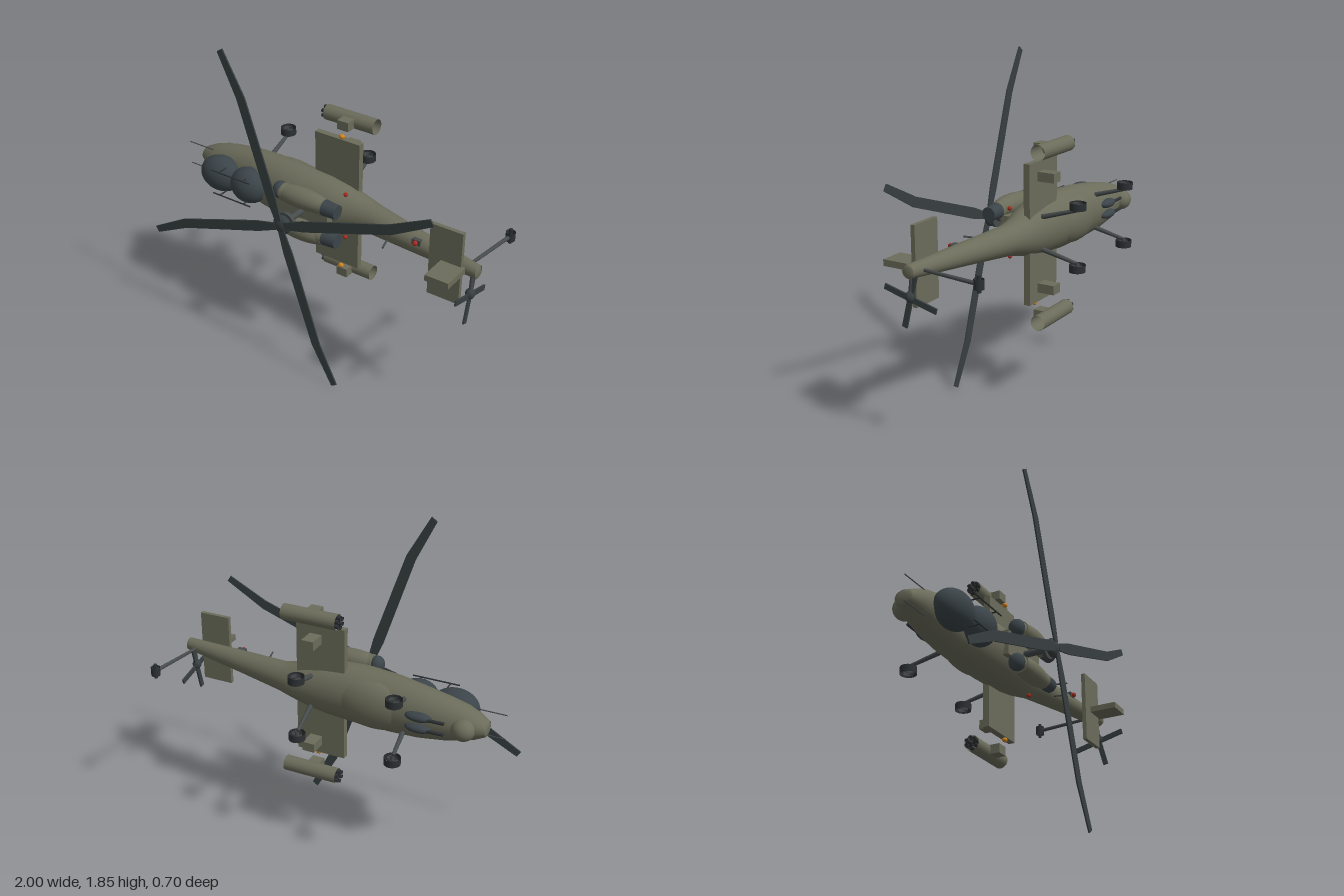
import * as THREE from 'three';

const mat = (name, color) => {
  const m = new THREE.MeshStandardMaterial({ color, side: THREE.DoubleSide });
  m.name = name;
  return m;
};

// The aircraft lies with its nose to -x and its roof to +z; y is its width.
export function createModel() {
  const olive = mat('olive paint', 0x6b6c5a);
  const glass = mat('dark glass', 0x3b4449);
  const blade = mat('rotor charcoal', 0x383f40);
  const rubber = mat('tyre black', 0x2c3033);
  const steel = mat('gear grey', 0x454a4b);
  const red = mat('red lamp', 0xa82a20);
  const amber = mat('amber lamp', 0xd08420);

  const root = new THREE.Group();
  const craft = new THREE.Group();
  craft.name = 'helicopter';
  craft.position.y = 0.935;
  root.add(craft);

  const add = (name, geo, m, x = 0, y = 0, z = 0, parent = craft) => {
    const mesh = new THREE.Mesh(geo, m);
    mesh.name = name;
    mesh.position.set(x, y, z);
    parent.add(mesh);
    return mesh;
  };
  const box = (name, m, x0, x1, y0, y1, z0, z1) =>
    add(name, new THREE.BoxGeometry(x1 - x0, y1 - y0, z1 - z0), m, (x0 + x1) / 2, (y0 + y1) / 2, (z0 + z1) / 2);
  const ball = (name, m, x, y, z, rx, ry = rx, rz = rx) =>
    add(name, new THREE.SphereGeometry(1, 28, 18).scale(rx, ry, rz), m, x, y, z);
  // Cylinder from point a to point b
  const rod = (name, m, a, b, r0, r1 = r0, open = false, sides = 20) => {
    const p = new THREE.Vector3(...a), q = new THREE.Vector3(...b);
    const d = q.clone().sub(p);
    const mesh = add(name, new THREE.CylinderGeometry(r1, r0, d.length(), sides, 1, open), m);
    mesh.position.copy(p).add(q).multiplyScalar(0.5);
    mesh.quaternion.setFromUnitVectors(new THREE.Vector3(0, 1, 0), d.normalize());
    return mesh;
  };

  // Body and tail boom lofted from ellipses: x, centre z, half width, half height
  const loft = (sections, n = 32) => {
    const pos = [], idx = [];
    sections.forEach(([x, zc, ry, rz], i) => {
      for (let j = 0; j < n; j++) {
        const a = (j / n) * Math.PI * 2;
        pos.push(x, ry * Math.cos(a), zc + rz * Math.sin(a));
        if (i === sections.length - 1) continue;
        const p = i * n + j, q = i * n + (j + 1) % n;
        idx.push(p, q, p + n, q, q + n, p + n);
      }
    });
    const g = new THREE.BufferGeometry();
    g.setAttribute('position', new THREE.Float32BufferAttribute(pos, 3));
    g.setIndex(idx);
    g.computeVertexNormals();
    return g;
  };
  add('fuselage', loft([
    [-0.92, -0.065, 0.04, 0.052], [-0.86, -0.058, 0.072, 0.08], [-0.8, -0.052, 0.095, 0.095],
    [-0.7, -0.05, 0.12, 0.108], [-0.55, -0.043, 0.146, 0.12], [-0.4, -0.025, 0.16, 0.136],
    [-0.2, -0.01, 0.166, 0.145], [0, -0.005, 0.156, 0.134], [0.12, -0.014, 0.132, 0.114],
    [0.22, -0.02, 0.102, 0.094], [0.3, -0.012, 0.083, 0.084], [0.6, 0.041, 0.062, 0.064],
    [0.99, 0.105, 0.036, 0.036],
  ]), olive);
  ball('noseCap', olive, -0.915, 0, -0.065, 0.012, 0.04, 0.052);
  ball('tailCap', olive, 0.985, 0, 0.105, 0.01, 0.035, 0.035);
  ball('bellyFairing', olive, -0.3, 0, -0.08, 0.25, 0.14, 0.095);
  ball('sensorTurret', olive, -0.81, 0, -0.13, 0.065, 0.06, 0.06);

  // Two cockpit bubbles
  ball('frontCanopy', glass, -0.69, 0, 0.08, 0.135, 0.105, 0.095);
  ball('rearCanopy', glass, -0.475, 0, 0.095, 0.117, 0.105, 0.092);

  // Engine deck and mast
  box('engineDeck', olive, -0.255, 0.1, -0.07, 0.07, 0.07, 0.15);
  rod('rotorMast', steel, [-0.07, 0, 0.12], [-0.07, 0, 0.33], 0.019);
  rod('mastCollar', steel, [-0.07, 0, 0.272], [-0.07, 0, 0.293], 0.055);
  ball('rotorHub', blade, -0.07, 0, 0.318, 0.055, 0.055, 0.03);

  // Main rotor with swept blade tips
  const bladeShape = new THREE.Shape([
    [0.03, -0.02], [0.16, -0.031], [0.72, -0.029], [0.985, 0.022],
    [0.975, 0.06], [0.72, 0.027], [0.16, 0.031], [0.03, 0.02],
  ].map(p => new THREE.Vector2(...p)));
  const bladeGeo = new THREE.ExtrudeGeometry(bladeShape, { depth: 0.008, bevelEnabled: false });
  for (let i = 0; i < 4; i++)
    add('mainRotorBlade', bladeGeo, blade, -0.07, 0, 0.336).rotation.z = 0.328 + i * Math.PI / 2;

  // Tail planes
  box('stabilizer', olive, 0.725, 0.91, -0.21, 0.21, 0.118, 0.142);
  box('tailFin', olive, 0.795, 0.93, -0.017, 0.017, 0.11, 0.3);

  // Tail rotor turning in the yz plane
  const tailRotor = new THREE.Group();
  tailRotor.name = 'tailRotor';
  tailRotor.position.set(0.96, -0.145, 0.117);
  tailRotor.rotation.x = -0.25;
  craft.add(tailRotor);
  for (let i = 0; i < 4; i++) {
    const g = new THREE.BoxGeometry(0.01, 0.15, 0.03).translate(0, 0.083, 0);
    add('tailRotorBlade', g, blade, 0, 0, 0, tailRotor).rotation.x = i * Math.PI / 2;
  }
  ball('tailRotorHub', blade, 0.96, -0.135, 0.117, 0.026, 0.03, 0.026);
  rod('tailRotorShaft', steel, [0.96, 0, 0.105], [0.96, -0.13, 0.117], 0.01);

  // Tail wheel
  rod('tailStrut', steel, [0.92, 0, 0.08], [0.965, 0, -0.28], 0.009, 0.011);
  rod('tailWheel', rubber, [0.965, -0.025, -0.285], [0.965, 0.025, -0.285], 0.026, 0.026, true);
  rod('tailAxle', rubber, [0.965, -0.043, -0.285], [0.965, 0.043, -0.285], 0.01);

  for (const s of [1, -1]) {
    // Engine with intake and exhaust
    ball('engine', olive, -0.045, s * 0.1, 0.172, 0.19, 0.058, 0.06);
    rod('engineCowl', olive, [-0.17, s * 0.1, 0.172], [0.1, s * 0.093, 0.172], 0.05, 0.046);
    ball('engineIntake', glass, -0.195, s * 0.1, 0.168, 0.042, 0.05, 0.046);
    rod('exhaust', glass, [0.09, s * 0.093, 0.172], [0.185, s * 0.09, 0.172], 0.045, 0.04);

    // Stub wing, pylons and rocket pod
    box('wing', olive, -0.115, 0.172, s > 0 ? 0.05 : -0.39, s > 0 ? 0.39 : -0.05, -0.08, -0.043);
    for (const y of [0.31, 0.465])
      box('pylon', olive, 0.02, 0.09, s * y - 0.026, s * y + 0.026, -0.18, -0.055);
    rod('rocketPod', olive, [-0.11, s * 0.465, -0.15], [0.208, s * 0.465, -0.15], 0.043, 0.043, true, 24);
    for (let i = 0; i < 6; i++) {
      const a = i * Math.PI / 3, y = s * 0.465 + 0.027 * Math.cos(a), z = -0.15 + 0.027 * Math.sin(a);
      rod('rocketTube', rubber, [-0.128, y, z], [-0.06, y, z], 0.011, 0.011, true, 10);
    }
    ball('wingLamp', amber, 0.06, s * 0.41, -0.043, 0.017, 0.013, 0.014);
    ball('bodyLamp', red, 0.155, s * 0.134, 0.055, 0.012);

    // Landing gear, front and rear pairs
    for (const x of [-0.5, 0.055]) {
      rod('gearStrut', steel, [x + 0.022, s * 0.09, -0.1], [x, s * 0.145, -0.295], 0.014, 0.01);
      rod('gearAxle', steel, [x, s * 0.14, -0.305], [x, s * 0.185, -0.305], 0.012, 0.012, true);
      rod('wheel', rubber, [x, s * 0.15, -0.305], [x, s * 0.19, -0.305], 0.045, 0.045, true, 24);
      rod('wheelRim', steel, [x, s * 0.153, -0.305], [x, s * 0.187, -0.305], 0.027, 0.027, true);
    }

    // Nose probes, canopy rails and belly gun housing
    rod('noseProbe', steel, [-1, s * 0.07, -0.007], [-0.8, s * 0.07, -0.007], 0.003);
    rod('canopyRail', rubber, [-0.67, s * 0.073, 0.187], [-0.4, s * 0.073, 0.187], 0.004);
    for (const x of [-0.62, -0.45])
      rod('railPost', rubber, [x, s * 0.073, 0.1], [x, s * 0.073, 0.187], 0.004);
    ball('gunHousing', glass, -0.575, s * 0.032, -0.158, 0.075, 0.026, 0.036);
    rod('gunBarrel', rubber, [-0.58, s * 0.032, -0.175], [-0.72, s * 0.032, -0.17], 0.009);

    // Whip aerials on the boom
    rod('boomAerial', steel, [0.43, s * 0.035, 0.06], [0.455, s * 0.038, 0.15], 0.005);
  }

  // Boom beacon
  box('beaconBase', steel, 0.6, 0.65, 0.02, 0.05, 0.08, 0.105);
  ball('boomBeacon', red, 0.625, 0.036, 0.112, 0.014);

  return root;
}
